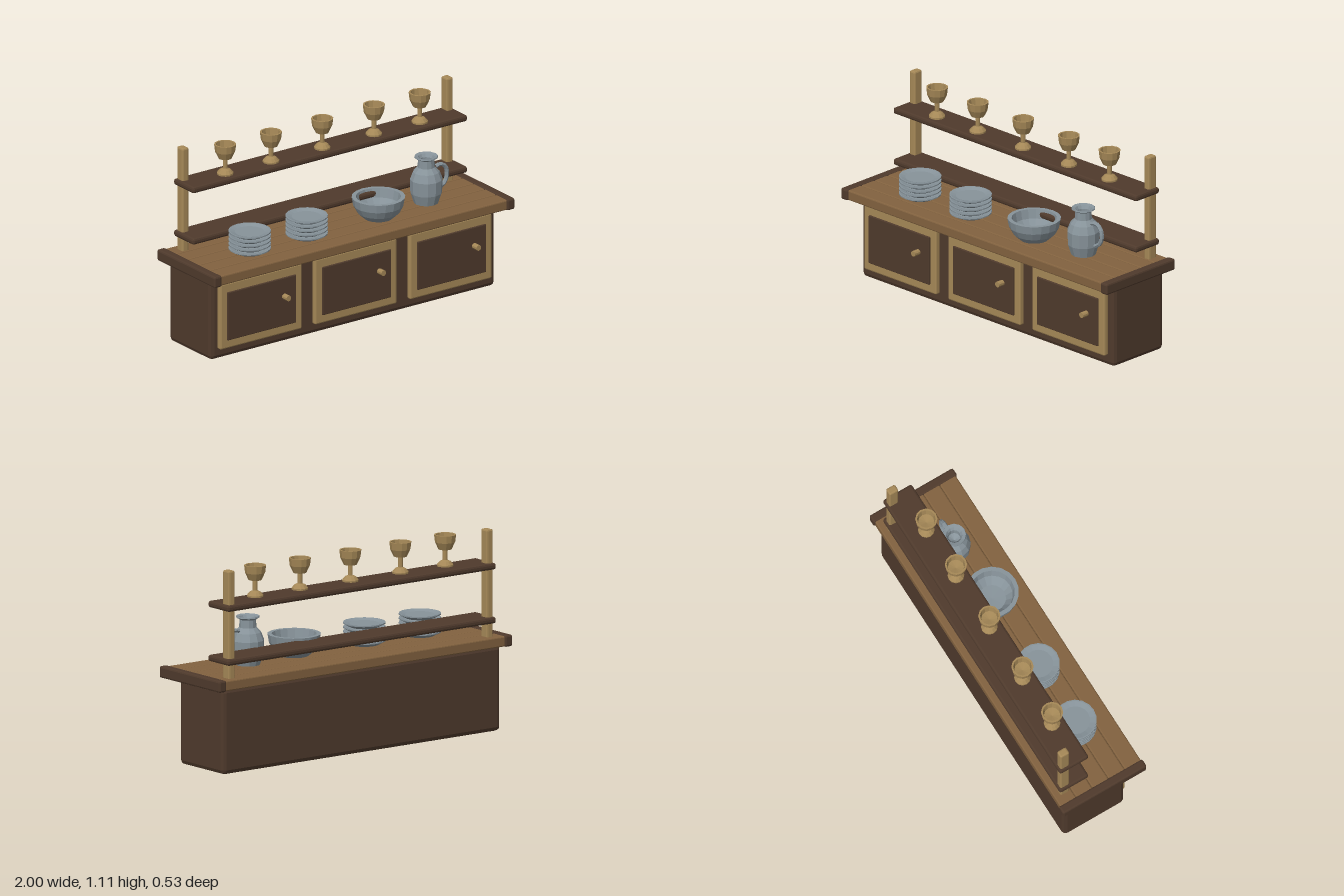
import * as THREE from 'three';
import { RoundedBoxGeometry } from 'three/addons/geometries/RoundedBoxGeometry.js';

const material = (name, color) => {
  const m = new THREE.MeshStandardMaterial({ color });
  m.name = name;
  m.flatShading = true;
  return m;
};

export function createModel() {
  const darkWood = material('dark wood', 0x4f3a2c);
  const plankWood = material('plank wood', 0x82623f);
  const paleWood = material('pale wood', 0xa58857);
  const pewter = material('pewter', 0x87939a);
  const model = new THREE.Group();
  model.name = 'sideboard';

  const add = (name, geometry, mat, x = 0, y = 0, z = 0, parent = model) => {
    const mesh = new THREE.Mesh(geometry, mat);
    mesh.name = name;
    mesh.position.set(x, y, z);
    parent.add(mesh);
    return mesh;
  };
  // Chamfered box given by its [min, max] ranges
  const box = (name, [x0, x1], [y0, y1], [z0, z1], bevel, mat, parent) =>
    add(name, new RoundedBoxGeometry(x1 - x0, y1 - y0, z1 - z0, 1, bevel), mat,
      (x0 + x1) / 2, (y0 + y1) / 2, (z0 + z1) / 2, parent);
  // Turned part: profile runs up the outside, then down the inside
  const turned = (profile, sides) =>
    new THREE.LatheGeometry(profile.map(([r, y]) => new THREE.Vector2(r, y)), sides);

  // Cabinet
  box('cabinet', [-0.947, 0.947], [0, 0.472], [-0.228, 0.155], 0.024, darkWood);

  // Worktop: five planks between two end rails
  for (let i = 0; i < 5; i++) {
    const z = -0.204 + i * 0.102;
    box('plank', [-0.97, 0.97], [0.465, 0.522], [z - 0.05, z + 0.05], 0.007, plankWood);
  }
  for (const s of [-1, 1]) {
    box('endRail', [s * 0.975 - 0.025, s * 0.975 + 0.025], [0.463, 0.527], [-0.263, 0.263], 0.01, darkWood);
  }

  // Doors with raised panel and knob
  for (const x of [-0.632, 0, 0.632]) {
    const door = new THREE.Group();
    door.name = 'door';
    door.position.x = x;
    model.add(door);
    box('doorFrame', [-0.271, 0.271], [0.062, 0.438], [0.15, 0.184], 0.008, paleWood, door);
    box('doorPanel', [-0.228, 0.228], [0.11, 0.386], [0.168, 0.193], 0.004, darkWood, door);
    const knob = new THREE.CylinderGeometry(0.016, 0.016, 0.042, 10).rotateX(Math.PI / 2);
    add('knob', knob, paleWood, 0.147, 0.28, 0.213, door);
  }

  // Rack posts and shelves
  for (const s of [-1, 1]) {
    box('post', [s * 0.88 - 0.021, s * 0.88 + 0.021], [0.5, 1.112], [-0.219, -0.163], 0.009, paleWood);
  }
  for (const y of [0.612, 0.908]) {
    box('shelf', [-0.914, 0.914], [y - 0.018, y + 0.018], [-0.231, -0.05], 0.012, darkWood);
  }

  // Goblets
  const goblet = turned([
    [0, 0], [0.045, 0], [0.045, 0.009], [0.03, 0.026], [0.013, 0.034], [0.013, 0.09],
    [0.036, 0.092], [0.055, 0.132], [0.06, 0.173], [0.05, 0.173], [0.044, 0.128], [0, 0.118],
  ], 12);
  for (const x of [-0.65, -0.345, -0.004, 0.34, 0.645]) {
    add('goblet', goblet, paleWood, x, 0.926, -0.12);
  }

  // Plate stacks
  const plate = turned([
    [0, 0], [0.078, 0], [0.115, 0.019], [0.115, 0.026], [0.108, 0.026], [0.08, 0.018], [0, 0.018],
  ], 18);
  for (const x of [-0.611, -0.232]) {
    const stack = new THREE.Group();
    stack.name = 'plateStack';
    model.add(stack);
    for (let i = 0; i < 5; i++) add('plate', plate, pewter, x, 0.523 + i * 0.0242, 0.05, stack);
  }

  // Bowl
  add('bowl', turned([
    [0, 0], [0.078, 0], [0.115, 0.034], [0.137, 0.075], [0.145, 0.121],
    [0.122, 0.121], [0.112, 0.07], [0.075, 0.024], [0, 0.02],
  ], 18), pewter, 0.246, 0.523, 0.05);

  // Jug with curved handle
  const jug = new THREE.Group();
  jug.name = 'jug';
  jug.position.set(0.586, 0.523, 0.02);
  model.add(jug);
  add('jugBody', turned([
    [0, 0], [0.067, 0], [0.086, 0.058], [0.089, 0.135], [0.072, 0.178], [0.047, 0.205], [0.045, 0.248],
    [0.065, 0.26], [0.063, 0.267], [0.045, 0.262], [0.034, 0.245], [0.034, 0.2], [0, 0.18],
  ], 12), pewter, 0, 0, 0, jug);
  const path = new THREE.CatmullRomCurve3([
    [0.06, 0.19], [0.095, 0.198], [0.128, 0.176], [0.138, 0.135], [0.124, 0.09], [0.082, 0.064],
  ].map(([x, y]) => new THREE.Vector3(x, y, 0)));
  add('jugHandle', new THREE.TubeGeometry(path, 10, 0.012, 6), pewter, 0, 0, 0, jug);

  return model;
}
